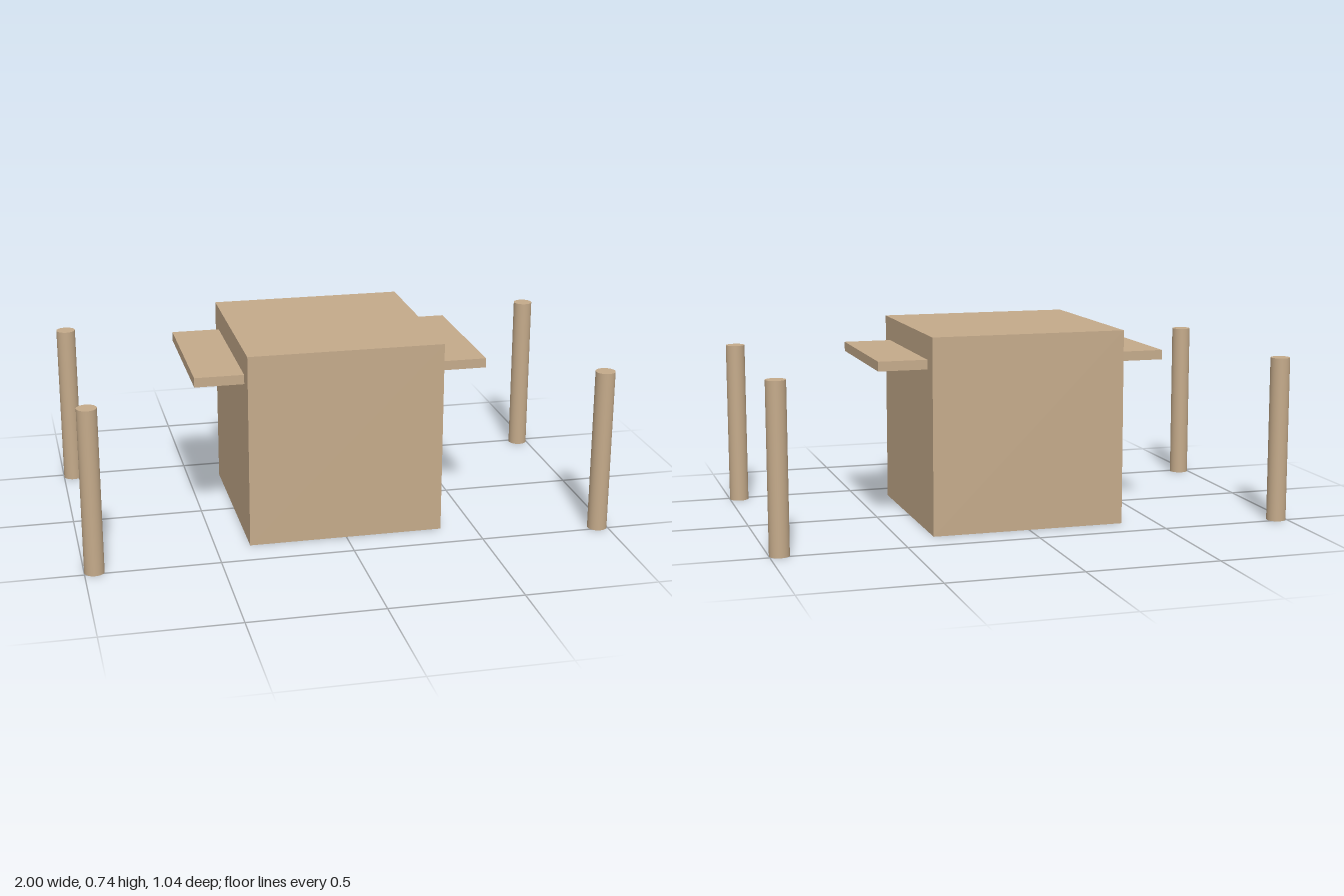
import * as THREE from 'three';

export function createModel() {
  const model = new THREE.Group();
  const tan = new THREE.MeshStandardMaterial({ color: 0xc4aa8a });
  tan.name = 'tan';

  const add = (name, geometry, x, y, z) => {
    const mesh = new THREE.Mesh(geometry, tan);
    mesh.name = name;
    mesh.position.set(x, y, z);
    model.add(mesh);
  };

  // Cubic body resting on the ground
  const size = 0.741;
  add('body', new THREE.BoxGeometry(size, size, size), 0, size / 2, 0);

  const shelf = new THREE.BoxGeometry(0.185, 0.036, 0.593);
  const post = new THREE.CylinderGeometry(0.037, 0.037, 0.63, 32);
  for (const side of [1, -1]) {
    const label = side > 0 ? 'left' : 'right';
    // Thin shelf projecting from each side of the body
    add(label + 'Shelf', shelf, side * 0.463, 0.632, 0);
    // Free-standing posts at the corners
    for (const end of [1, -1]) {
      add(label + (end > 0 ? 'FrontPost' : 'BackPost'), post, side * 0.963, 0.315, end * 0.482);
    }
  }
  return model;
}
